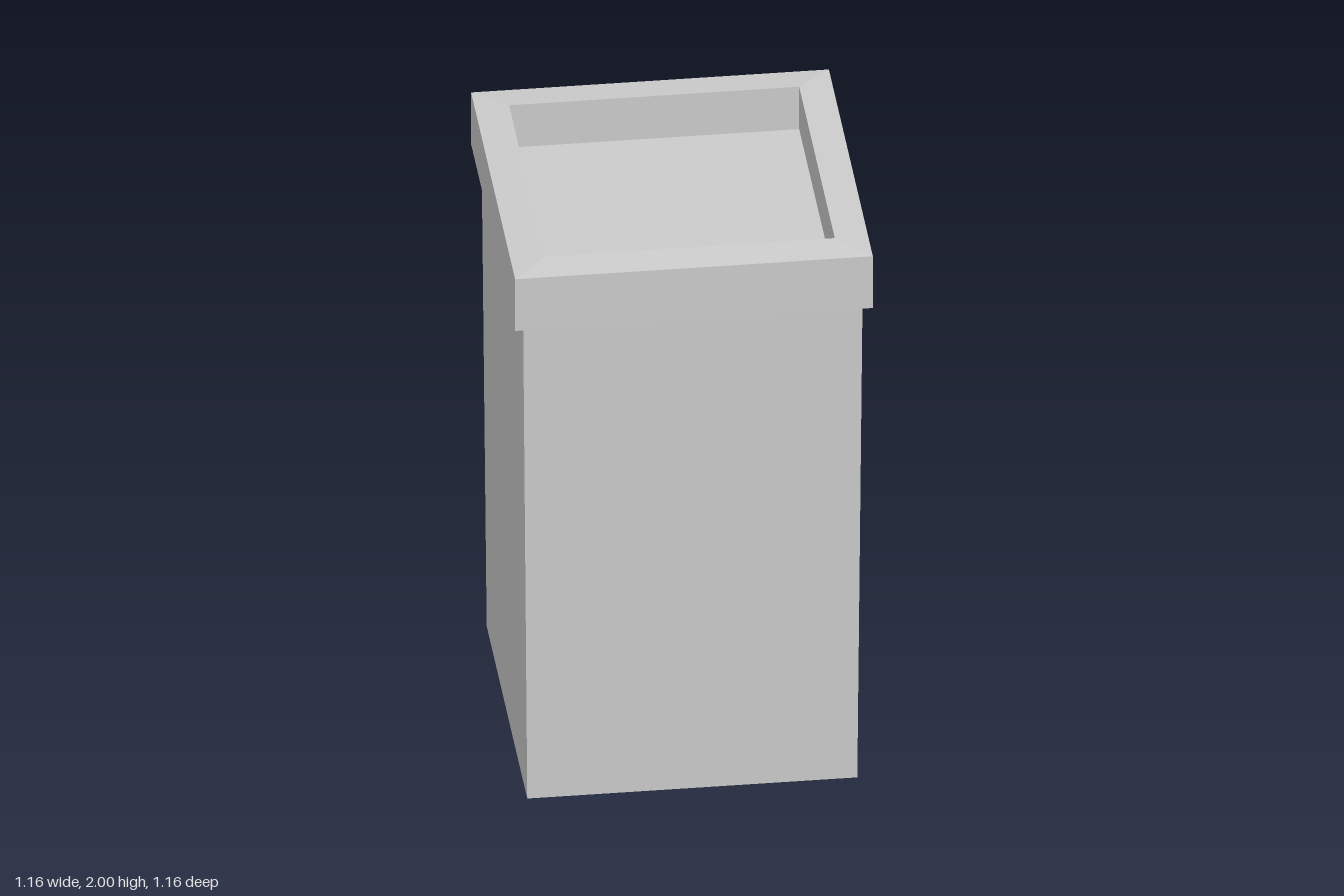
import * as THREE from 'three';

const material = new THREE.MeshStandardMaterial({ color: 0xcccccc, flatShading: true });

// Square ring surface: a four-sided lathe of [half width, height] points, listed bottom outside to top inside
function squareLathe(name, profile) {
  const points = profile.map(([half, y]) => new THREE.Vector2(half * Math.SQRT2, y));
  const geometry = new THREE.LatheGeometry(points, 4, Math.PI / 4).toNonIndexed();
  geometry.computeVertexNormals();
  const mesh = new THREE.Mesh(geometry, material);
  mesh.name = name;
  return mesh;
}

export function createModel() {
  const planter = new THREE.Group();
  planter.name = 'squarePlanter';

  // Body, slightly wider at the top, with a closed base
  planter.add(squareLathe('body', [[0, 0], [0.535, 0], [0.55, 1.795]]));

  // Overhanging rim with a gently sloped top and straight inner walls
  planter.add(squareLathe('rim', [
    [0.55, 1.795], [0.58, 1.795], [0.58, 1.99], [0.47, 2], [0.47, 1.84],
  ]));

  // Recessed floor inside the rim
  planter.add(squareLathe('recessedFloor', [[0.47, 1.84], [0, 1.84]]));

  return planter;
}
